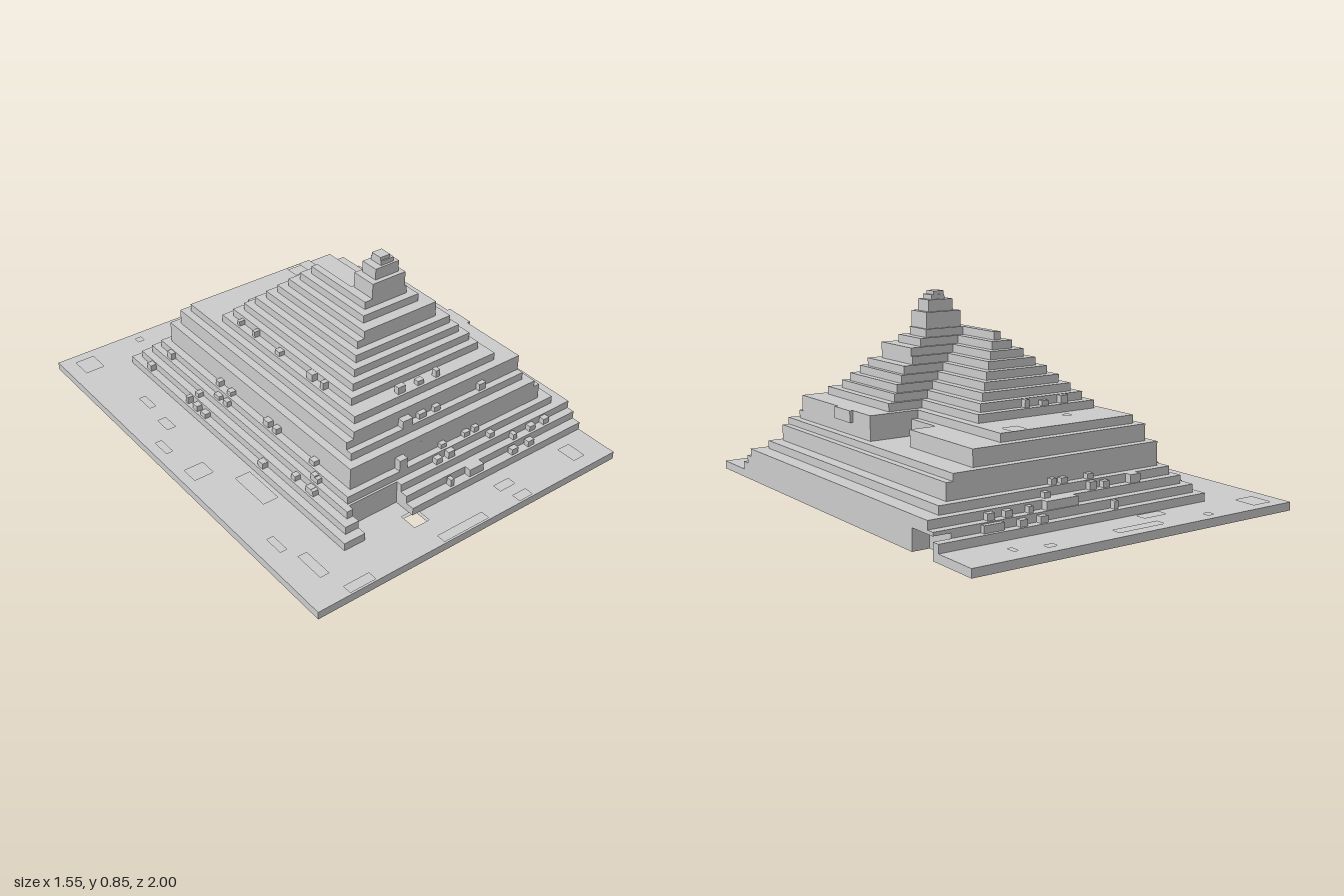
import * as THREE from 'three';

const stone = new THREE.MeshStandardMaterial({ color: 0xcccccc, flatShading: true });

// Rectangle x0, x1, z0, z1 as a loop of plan points
const rect = ([x0, x1, z0, z1]) => [[x0, z0], [x1, z0], [x1, z1], [x0, z1]];
const toPath = (pts, Type) => new Type(pts.map(([x, z]) => new THREE.Vector2(x, -z)));

export function createModel() {
  const model = new THREE.Group();

  // Flat slab with a plan outline and rectangular pits
  function slab(name, pts, y0, y1, pits = []) {
    const shape = toPath(pts, THREE.Shape);
    shape.holes = pits.map((p) => toPath(rect(p), THREE.Path));
    const geo = new THREE.ExtrudeGeometry(shape, { depth: y1 - y0, bevelEnabled: false });
    geo.rotateX(-Math.PI / 2);
    geo.translate(0, y0, 0);
    const mesh = new THREE.Mesh(geo, stone);
    mesh.name = name;
    model.add(mesh);
  }
  const block = (name, x0, x1, y0, y1, z0, z1) => slab(name, rect([x0, x1, z0, z1]), y0, y1);

  // Ground plate, with a niche in the right edge, shallow pits and one open shaft
  const niche = [[0.775, -0.76], [0.7, -0.76], [0.7, -0.62], [0.775, -0.62]];
  const plate = [[-0.775, -1], [0.775, -1], ...niche, [0.775, 1], [-0.775, 1]];
  const shaft = [-0.2, -0.125, 0.78, 0.86];
  const pits = [
    [-0.71, -0.62, -0.95, -0.85], [-0.14, 0.08, -0.95, -0.91], [-0.24, -0.13, -0.85, -0.805],
    [0.37, 0.41, -0.95, -0.92], [0.52, 0.54, -0.92, -0.88], [-0.39, -0.36, -0.96, -0.93],
    [-0.73, -0.64, 0.02, 0.1], [-0.59, -0.52, 0.19, 0.39], [-0.7, -0.67, 0.57, 0.66],
    [-0.66, -0.62, 0.72, 0.86], [-0.73, -0.7, -0.21, -0.12], [-0.64, -0.6, -0.34, -0.26],
    [-0.62, -0.59, -0.53, -0.44], [0.22, 0.3, 0.86, 0.9], [0.6, 0.66, 0.85, 0.94],
    [-0.16, 0.07, 0.95, 0.99], [0.24, 0.31, 0.95, 0.99], [-0.62, -0.5, 0.95, 0.99],
  ];
  slab('groundPlateBottom', plate, 0, 0.018, [shaft]);
  slab('groundPlateTop', plate, 0.018, 0.035, [shaft, ...pits]);

  // Lower terraces: top height, x0, x1, z0, z1
  const lower = [
    [0.07, -0.5, 0.775, -0.795, 0.8],
    [0.105, -0.465, 0.775, -0.76, 0.76],
    [0.14, -0.43, 0.775, -0.725, 0.725],
    [0.175, -0.4, 0.705, -0.69, 0.69],
    [0.245, -0.365, 0.65, -0.655, 0.66],
    [0.275, -0.365, 0.62, -0.655, 0.66],
  ];
  let y = 0.035;
  lower.forEach(([top, x0, x1, z0, z1], i) => {
    const pts = [[x0, z0], [x1, z0]];
    if (i === 0) pts.push(...niche);
    // The second terrace starts flush with the back of the niche
    if (i === 1) pts.splice(1, 1, [0.7, z0], [0.7, -0.62], [x1, -0.62]);
    pts.push([x1, z1]);
    // Forecourt cut into the front
    if (i < 3) pts.push([-0.16, z1], [-0.16, 0.7], [-0.4, 0.7], [-0.4, z1]);
    pts.push([x0, z1]);
    slab('lowerTerrace', pts, y, top);
    y = top;
  });
  block('nicheLintel', 0.7, 0.775, 0.09, 0.105, -0.76, -0.62);

  // Middle terraces, narrower behind on the right
  const ell = (x0, z0, z1, xb) => [[x0, z0], [xb, z0], [xb, 0], [0.585, 0], [0.585, z1], [x0, z1]];
  slab('middleTerrace', ell(-0.33, -0.62, 0.62, 0.39), 0.275, 0.31);
  slab('middleTerrace', ell(-0.33, -0.62, 0.59, 0.39), 0.31, 0.345);
  slab('middleTerrace', ell(-0.295, -0.585, 0.59, 0.36), 0.345, 0.38,
    [[0.23, 0.3, -0.58, -0.51], [0.46, 0.48, 0.1, 0.14], [-0.09, -0.06, -0.45, -0.42]]);
  block('rightLedge', 0.38, 0.51, 0.275, 0.345, -0.62, -0.18);
  block('rightBalcony', 0.55, 0.6, 0.33, 0.38, 0.14, 0.27);

  // Upper terraces: a long narrowing rear wing and a broader front wing
  const frontX = [0.48, 0.445, 0.425, 0.395, 0.375, 0.325, 0.325, 0.27, 0.235];
  const frontZ = [0.55, 0.485, 0.45, 0.415, 0.38, 0.345, 0.345, 0.295, 0.26];
  for (let i = 0; i < 9; i++) {
    const y0 = 0.38 + i * 0.0345;
    const x0 = -0.26 + i * 0.0345;
    const back = 0.03 + i * 0.0125;
    const xb = 0.32 - i * 0.034;
    slab('upperTerrace', [[x0, -0.38 + i * 0.035], [xb, -0.38 + i * 0.035], [xb, back],
      [frontX[i], back], [frontX[i], frontZ[i]], [x0, frontZ[i]]], y0, y0 + 0.0345);
  }

  // Spire
  block('spireBase', 0.055, 0.225, 0.69, 0.76, 0.14, 0.26);
  block('spireMiddle', 0.085, 0.205, 0.76, 0.81, 0.155, 0.24);
  block('spireTop', 0.12, 0.185, 0.81, 0.83, 0.165, 0.23);
  block('spireCap', 0.12, 0.17, 0.83, 0.845, 0.17, 0.225);

  // Larger blocks on the front and back steps
  block('frontBlock', 0.15, 0.225, 0.07, 0.105, 0.72, 0.79);
  block('frontBlock', -0.07, -0.02, 0.275, 0.345, 0.58, 0.62);
  block('frontBlock', -0.14, -0.1, 0.175, 0.225, 0.65, 0.69);
  block('backBlock', 0.12, 0.27, 0.105, 0.14, -0.71, -0.755);
  block('backBlock', -0.22, -0.17, 0.14, 0.175, -0.72, -0.68);
  block('backBlock', 0.48, 0.57, 0.07, 0.1, -0.78, -0.75);

  // Loose stones scattered along the left, front and back ledges
  let seed = 7;
  const rand = () => (seed = (seed * 16807) % 2147483647) / 2147483647;
  const ledges = lower.slice(0, 4).concat([[0.31, -0.33, 0.55, -0.62, 0.62], [0.415, -0.26, 0.3, -0.38, 0.55]]);
  ledges.forEach(([top, x0, x1, z0, z1]) => {
    for (let k = 0; k < 5; k++) {
      const w = 0.018 + 0.022 * rand();
      const h = 0.018 + 0.016 * rand();
      const z = z0 + 0.05 + (z1 - z0 - 0.2) * rand();
      block('looseStone', x0 + 0.008, x0 + 0.035, top, top + h, z, z + w);
      if (k > 2) continue;
      const x = -0.12 + (x1 + 0.02) * rand();
      block('looseStone', x, x + w, top, top + h, z1 - 0.035, z1 - 0.01);
      block('looseStone', x - 0.1, x - 0.1 + w, top, top + h, z0 + 0.01, z0 + 0.035);
    }
  });
  return model;
}
